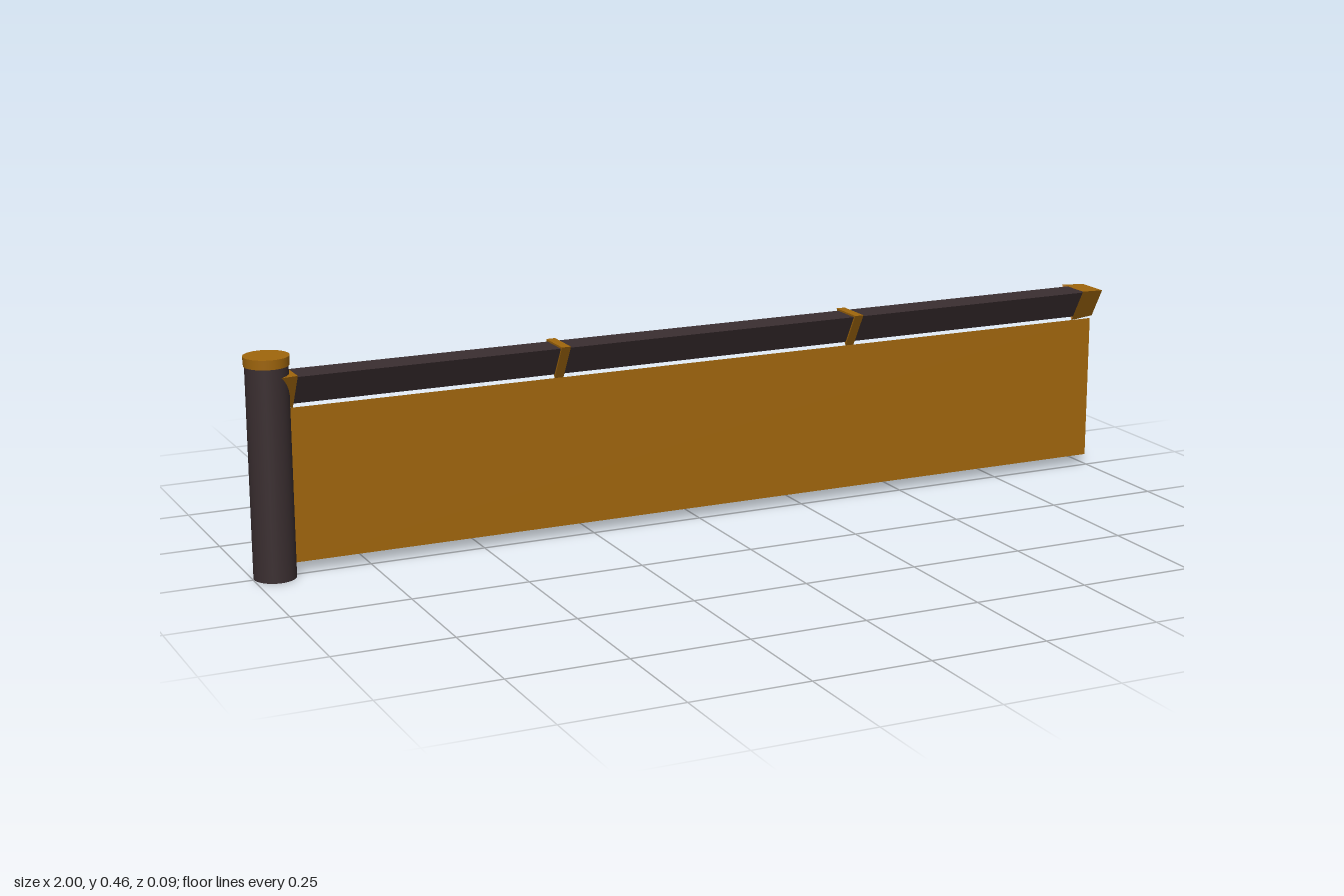
import * as THREE from 'three';

const gold = new THREE.MeshStandardMaterial({ color: 0xa0660c, side: THREE.DoubleSide, flatShading: true });
const goldSmooth = new THREE.MeshStandardMaterial({ color: 0xa0660c });
const dark = new THREE.MeshStandardMaterial({ color: 0x3a2e30, side: THREE.DoubleSide, flatShading: true });
const darkSmooth = new THREE.MeshStandardMaterial({ color: 0x3a2e30 });

const AXIS_Y = 0.4; // height of the bar's centre line
const POST_X = -0.954;

// Open three-sided tube along x, flat side up; r0 at x0, r1 at x1
function triangleTube(x0, x1, r0, r1) {
  return new THREE.CylinderGeometry(r1, r0, x1 - x0, 3, 1, true)
    .rotateZ(-Math.PI / 2)
    .rotateX(Math.PI / 2)
    .translate((x0 + x1) / 2, AXIS_Y, 0);
}

// Corners of a triangle with its point down
function corners(r) {
  return [0, 1, 2].map((i) => {
    const a = -Math.PI / 2 + (i * Math.PI * 2) / 3;
    return new THREE.Vector2(Math.cos(a) * r, Math.sin(a) * r);
  });
}

// Triangular ring around the bar
function triangleRing(x, width, outer, inner) {
  const shape = new THREE.Shape(corners(outer));
  shape.holes.push(new THREE.Path(corners(inner).reverse()));
  return new THREE.ExtrudeGeometry(shape, { depth: width, bevelEnabled: false })
    .translate(0, 0, -width / 2)
    .rotateY(Math.PI / 2)
    .translate(x, AXIS_Y, 0);
}

export function createModel() {
  const model = new THREE.Group();
  const add = (name, geometry, material) => {
    const mesh = new THREE.Mesh(geometry, material);
    mesh.name = name;
    model.add(mesh);
    return mesh;
  };

  // Round post with its cap
  add('post', new THREE.CylinderGeometry(0.044, 0.044, 0.445, 32), darkSmooth)
    .position.set(POST_X, 0.2225, 0);
  add('postCap', new THREE.CylinderGeometry(0.047, 0.046, 0.02, 32), goldSmooth)
    .position.set(POST_X, 0.453, 0);

  // Triangular bar
  add('bar', triangleTube(-0.95, 0.96, 0.042, 0.042), dark);

  // Tapered sleeves at both ends, wider towards the middle
  add('postSleeve', triangleTube(-0.955, -0.903, 0.044, 0.05), gold);
  add('endSleeve', triangleTube(0.945, 1, 0.05, 0.044), gold);

  // Rings along the bar
  for (const x of [-0.326, 0.366]) add('barRing', triangleRing(x, 0.02, 0.05, 0.042), gold);

  // Thin hanging panel
  add('panel', new THREE.PlaneGeometry(1.91, 0.325), gold)
    .position.set(0.04, 0.1875, 0);

  return model;
}
